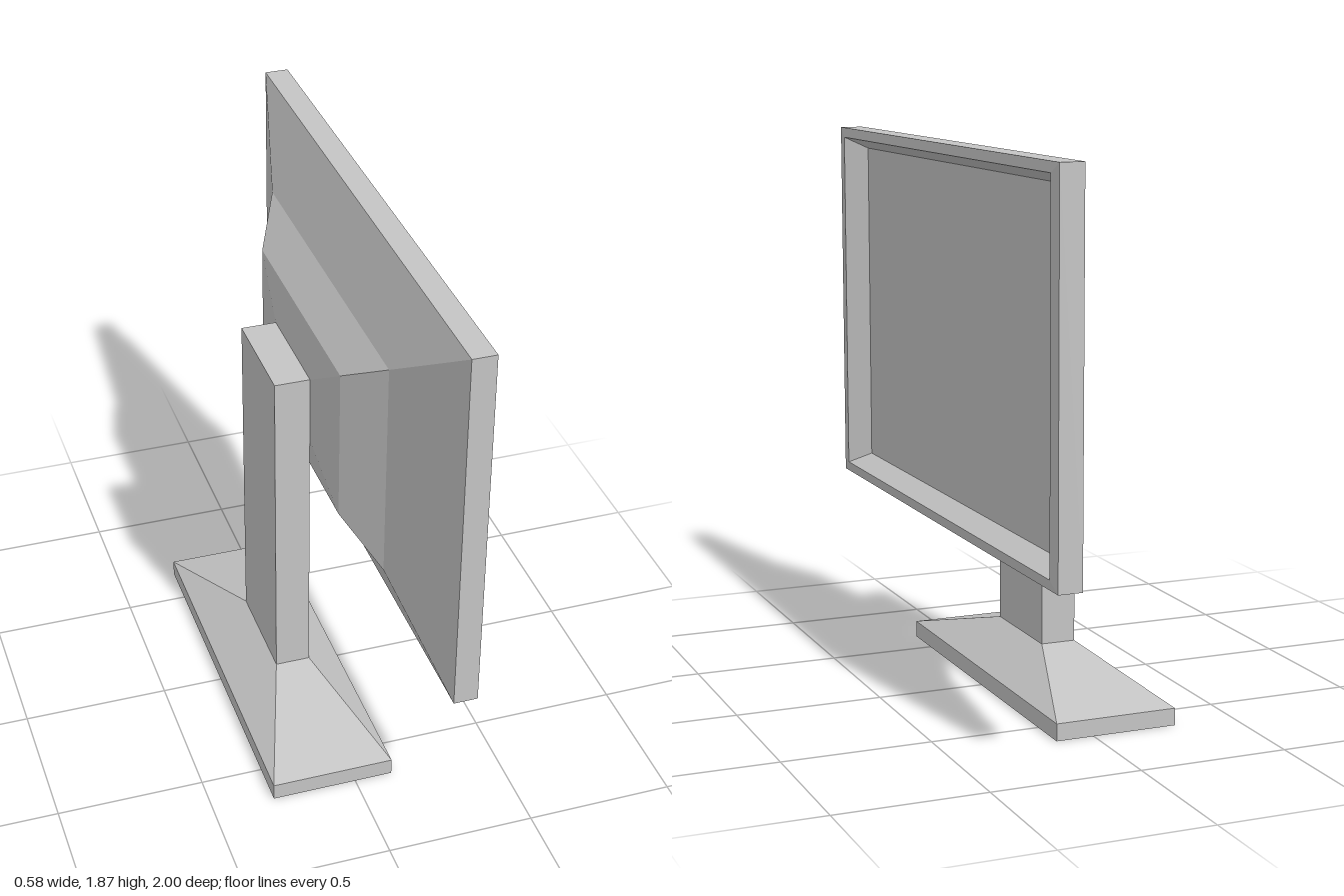
import * as THREE from 'three';

// Joins rectangles [a, u0, u1, v0, v1] along an axis with flat faces.
// (u, v) is (y, z) for axis x and (z, x) for axis y.
function loft(sections, axis, { startCap = false, endCap = false } = {}) {
  const place = axis === 'x' ? (a, u, v) => [a, u, v] : (a, u, v) => [v, a, u];
  const rings = sections.map(([a, u0, u1, v0, v1]) =>
    [[u0, v0], [u1, v0], [u1, v1], [u0, v1]].map(([u, v]) => place(a, u, v)));
  const pos = [];
  const quad = (a, b, c, d) => pos.push(...a, ...b, ...c, ...a, ...c, ...d);
  for (let i = 0; i < rings.length - 1; i++) {
    for (let k = 0; k < 4; k++) {
      const n = (k + 1) % 4;
      quad(rings[i][k], rings[i][n], rings[i + 1][n], rings[i + 1][k]);
    }
  }
  if (startCap) quad(...[...rings[0]].reverse());
  if (endCap) quad(...rings[rings.length - 1]);
  const geo = new THREE.BufferGeometry();
  geo.setAttribute('position', new THREE.Float32BufferAttribute(pos, 3));
  geo.computeVertexNormals();
  return geo;
}

export function createModel() {
  const group = new THREE.Group();
  group.name = 'monitor';
  const grey = new THREE.MeshStandardMaterial({ color: 0xc4c4c4, flatShading: true });
  grey.name = 'light grey';
  const add = (name, geo) => {
    const mesh = new THREE.Mesh(geo, grey);
    mesh.name = name;
    group.add(mesh);
    return mesh;
  };

  // Foot: a thin slab with a sloped top rising to the post
  add('base', loft([
    [0, -0.65, 0.65, -0.29, 0.13],
    [0.058, -0.65, 0.65, -0.29, 0.13],
    [0.18, -0.187, 0.187, -0.137, -0.017],
  ], 'y', { startCap: true }));

  // Upright post
  add('post', loft([
    [0.18, -0.187, 0.187, -0.137, -0.017],
    [1.343, -0.187, 0.187, -0.137, -0.017],
  ], 'y', { endCap: true }));

  // Stepped back shell and straight outer edge
  const outer = [0.583, 1.866, -1, 1];
  add('housing', loft([
    [-0.017, 1.108, 1.343, -0.187, 0.187],
    [0.007, 0.962, 1.493, -0.417, 0.417],
    [0.1, 0.845, 1.608, -0.6, 0.6],
    [0.2, ...outer],
    [0.281, ...outer],
  ], 'x'));

  // Front rim and the sloped walls of the recess
  const screen = [0.215, 0.657, 1.794, -0.888, 0.888];
  add('bezel', loft([
    [0.281, ...outer],
    [0.286, 0.618, 1.832, -0.947, 0.947],
    screen,
  ], 'x'));

  // Sunken display panel
  const panel = new THREE.PlaneGeometry(1.776, 1.137);
  panel.rotateY(Math.PI / 2);
  add('screen', panel).position.set(0.215, 1.2255, 0);

  return group;
}
